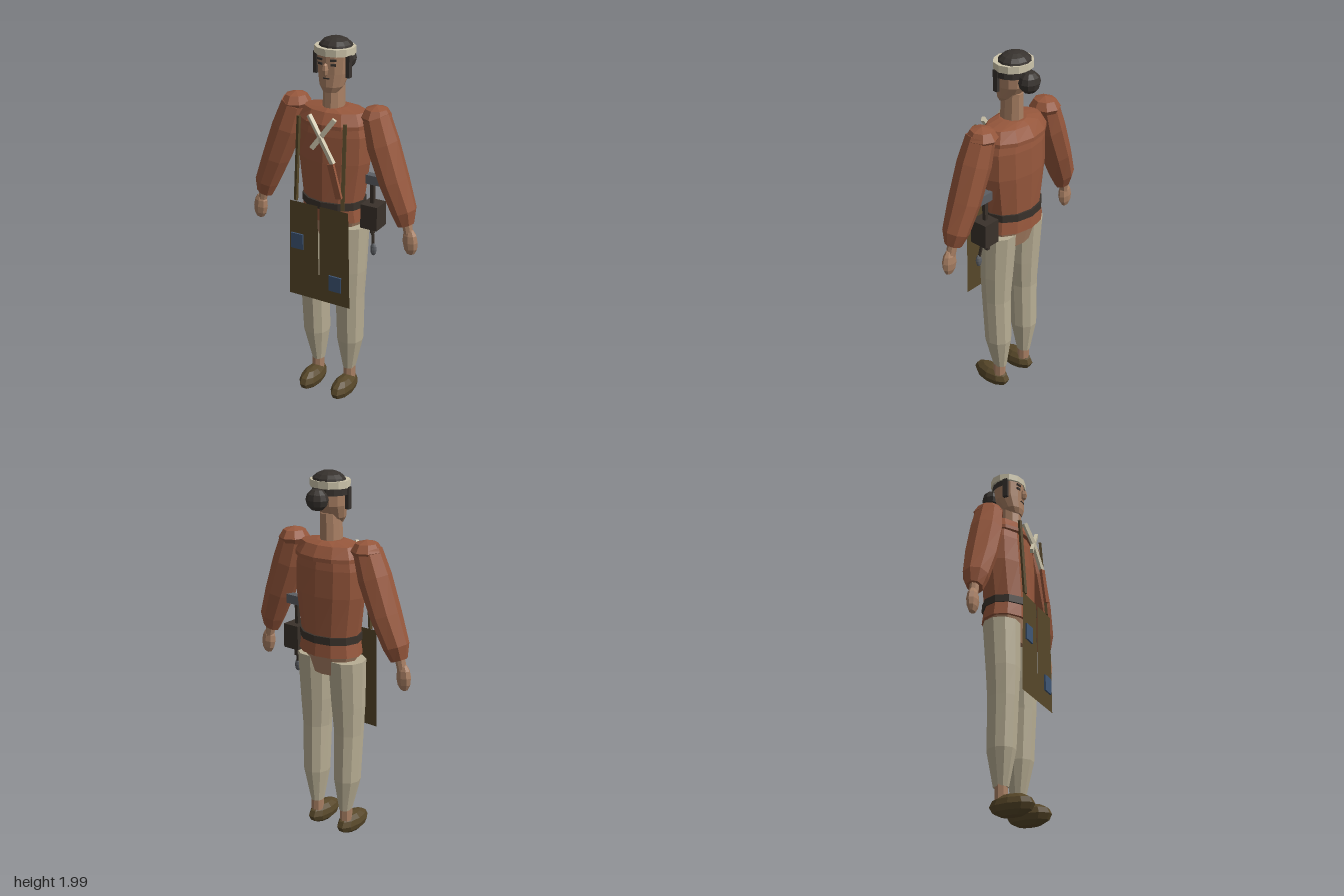
import * as THREE from 'three';

const mat = (name, color, extra = {}) =>
  new THREE.MeshStandardMaterial({ name, color, flatShading: true, ...extra });

export function createModel() {
  const root = new THREE.Group();
  root.name = 'apronedCraftsman';
  const M = {
    rust: mat('rustCloth', 0x96573c),
    skin: mat('skin', 0xa98064),
    cream: mat('creamTrousers', 0xb8ae94),
    pale: mat('paleCloth', 0xcdc5ab),
    hair: mat('darkHair', 0x37322e, { side: THREE.DoubleSide }),
    olive: mat('oliveLeather', 0x574729, { side: THREE.DoubleSide }),
    belt: mat('darkLeather', 0x3a322b),
    blue: mat('bluePatch', 0x3f5675),
    metal: mat('greyMetal', 0x5c5f64),
  };

  const add = (name, geo, material, pos = [0, 0, 0], scale = [1, 1, 1]) => {
    const m = new THREE.Mesh(geo, material);
    m.name = name;
    m.position.set(...pos);
    m.scale.set(...scale);
    root.add(m);
    return m;
  };
  const box = (name, material, size, pos) => add(name, new THREE.BoxGeometry(...size), material, pos);
  const ball = (name, material, radii, pos, w = 8, h = 6) =>
    add(name, new THREE.SphereGeometry(1, w, h), material, pos, radii);

  // Closed body through elliptical rings [x, y, z, rx, rz], listed from bottom to top
  const loft = (name, material, rings, n = 12, tilt = 0) => {
    const pos = [], idx = [];
    for (const [x, y, z, rx, rz] of rings)
      for (let i = 0; i < n; i++) {
        const a = (i / n) * Math.PI * 2, u = rx * Math.cos(a);
        pos.push(x + u * Math.cos(tilt), y + u * Math.sin(tilt), z + rz * Math.sin(a));
      }
    for (let r = 0; r < rings.length - 1; r++)
      for (let i = 0; i < n; i++) {
        const a = r * n + i, b = r * n + ((i + 1) % n);
        idx.push(a, a + n, b, b, a + n, b + n);
      }
    const last = (rings.length - 1) * n;
    for (let i = 1; i < n - 1; i++) idx.push(0, i, i + 1, last, last + i + 1, last + i);
    const g = new THREE.BufferGeometry();
    g.setAttribute('position', new THREE.Float32BufferAttribute(pos, 3));
    g.setIndex(idx);
    g.computeVertexNormals();
    return add(name, g, material);
  };

  // Flat bar running between two points
  const bar = (name, material, a, b, w, d) => {
    const A = new THREE.Vector3(...a), B = new THREE.Vector3(...b);
    const m = box(name, material, [w, A.distanceTo(B), d], [0, 0, 0]);
    m.position.copy(A).add(B).multiplyScalar(0.5);
    m.quaternion.setFromUnitVectors(new THREE.Vector3(0, 1, 0), B.sub(A).normalize());
    return m;
  };

  // Torso, shoulder yoke, belt and hips
  loft('shirt', M.rust, [
    [0, 1.065, -0.015, 0.182, 0.132], [0, 1.15, -0.012, 0.166, 0.126],
    [0, 1.38, -0.018, 0.2, 0.126], [0, 1.52, -0.02, 0.2, 0.118], [0, 1.6, -0.02, 0.18, 0.105],
  ]);
  loft('shirtYoke', M.rust, [
    [0, 1.565, -0.02, 0.2, 0.135], [0, 1.585, -0.02, 0.2, 0.135],
    [0, 1.64, -0.02, 0.17, 0.1], [0, 1.655, -0.015, 0.07, 0.07],
  ]);
  loft('belt', M.belt, [[0, 1.135, -0.012, 0.175, 0.138], [0, 1.175, -0.012, 0.175, 0.138]]);
  loft('hips', M.skin, [[0, 0.95, -0.01, 0.12, 0.08], [0, 1.08, -0.01, 0.17, 0.115]]);

  // Neck and head
  loft('neck', M.skin, [[0, 1.63, -0.008, 0.055, 0.065], [0, 1.79, -0.012, 0.05, 0.062]], 10);
  loft('head', M.skin, [
    [0, 1.735, 0.022, 0.04, 0.038], [0, 1.765, 0.01, 0.063, 0.058],
    [0, 1.83, -0.01, 0.08, 0.078], [0, 1.93, -0.015, 0.086, 0.085],
  ]);
  ball('nose', M.skin, [0.016, 0.034, 0.02], [0, 1.855, 0.075], 6, 4);
  box('mouth', M.hair, [0.034, 0.006, 0.008], [0, 1.81, 0.065]);
  for (const s of [1, -1]) {
    box('eyebrow', M.hair, [0.032, 0.01, 0.008], [s * 0.037, 1.903, 0.062]).rotation.y = s * 0.26;
    box('eye', M.hair, [0.026, 0.011, 0.008], [s * 0.037, 1.88, 0.061]).rotation.y = s * 0.26;
    box('sideburn', M.hair, [0.02, 0.11, 0.026], [s * 0.092, 1.868, 0.008]);
  }

  // Hair, bun and headband
  add('hairCap', new THREE.SphereGeometry(1, 12, 4, 0, Math.PI * 2, 0, Math.PI / 2), M.hair,
    [0, 1.945, -0.028], [0.09, 0.055, 0.083]);
  add('napeHair', new THREE.CylinderGeometry(1, 1, 0.038, 8, 1, true, Math.PI / 2, Math.PI), M.hair,
    [0, 1.904, 0], [0.098, 1, 0.108]);
  ball('hairBun', M.hair, [0.059, 0.057, 0.052], [0, 1.868, -0.122], 10, 6);
  loft('headband', M.pale, [[0, 1.92, -0.02, 0.105, 0.095], [0, 1.956, -0.02, 0.105, 0.095]]);

  // Arms, legs and shoes
  for (const s of [1, -1]) {
    ball('shoulderPad', M.rust, [0.077, 0.055, 0.085], [s * 0.232, 1.632, -0.025], 8, 4);
    loft('sleeve', M.rust, [
      [s * 0.423, 1.1, 0, 0.046, 0.042], [s * 0.407, 1.17, -0.005, 0.066, 0.07],
      [s * 0.345, 1.32, -0.01, 0.076, 0.088], [s * 0.277, 1.5, -0.014, 0.083, 0.09],
      [s * 0.235, 1.63, -0.02, 0.07, 0.078],
    ], 8, s * 0.36);
    loft('wrist', M.skin, [[s * 0.442, 1.04, 0.002, 0.024, 0.022], [s * 0.425, 1.12, 0, 0.028, 0.026]], 8, s * 0.25);
    ball('hand', M.skin, [0.043, 0.073, 0.029], [s * 0.45, 1.012, 0.004]).rotation.z = s * 0.08;
    loft('trouserLeg', M.cream, [
      [s * 0.098, 0.165, -0.01, 0.034, 0.04], [s * 0.105, 0.35, -0.005, 0.071, 0.075],
      [s * 0.107, 0.62, 0.004, 0.077, 0.08], [s * 0.104, 0.78, 0.002, 0.09, 0.088],
      [s * 0.102, 1.035, -0.008, 0.099, 0.098],
    ], 10);
    loft('ankle', M.skin, [[s * 0.1, 0.08, -0.008, 0.034, 0.034], [s * 0.1, 0.19, -0.008, 0.034, 0.034]], 8);
    ball('shoe', M.olive, [0.056, 0.06, 0.12], [s * 0.1, 0.068, 0.05], 10, 6);
    bar('apronStrap', M.olive, [s * 0.132, 1.61, 0.112], [s * 0.137, 1.165, 0.142], 0.018, 0.014);
  }

  // Split apron sheet with patches
  const apron = new THREE.Shape([
    [-0.183, 0.62], [0.183, 0.62], [0.172, 1.16], [0.007, 1.16],
    [0.003, 0.77], [-0.003, 0.77], [-0.007, 1.16], [-0.172, 1.16],
  ].map(([x, y]) => new THREE.Vector2(x, y)));
  add('apron', new THREE.ShapeGeometry(apron), M.olive, [0, 0, 0.146]);
  box('apronPatch', M.blue, [0.072, 0.086, 0.009], [-0.123, 0.942, 0.158]);
  box('apronPatch', M.blue, [0.072, 0.086, 0.009], [0.102, 0.747, 0.158]);

  // Crossed neckerchief with a loose rust tail
  bar('scarfBand', M.pale, [-0.072, 1.625, 0.112], [0.005, 1.525, 0.132], 0.024, 0.018);
  bar('scarfBand', M.pale, [0.0, 1.53, 0.132], [0.082, 1.405, 0.142], 0.024, 0.018);
  bar('scarfBand', M.pale, [0.075, 1.625, 0.115], [-0.042, 1.465, 0.138], 0.024, 0.018);
  bar('scarfTail', M.rust, [0.072, 1.405, 0.148], [0.122, 1.23, 0.15], 0.036, 0.014);

  // Tool pouch with hammer and spoon on the belt
  box('toolPouch', M.belt, [0.095, 0.13, 0.1], [0.222, 1.1, -0.025]);
  box('hammerHandle', M.belt, [0.02, 0.15, 0.02], [0.217, 1.21, -0.025]);
  box('hammerHead', M.metal, [0.09, 0.048, 0.042], [0.23, 1.295, -0.025]);
  bar('spoonHandle', M.belt, [0.222, 1.06, -0.015], [0.239, 0.94, 0], 0.012, 0.012);
  ball('spoonBowl', M.metal, [0.018, 0.035, 0.014], [0.241, 0.918, 0.002]);
  box('pouchTool', M.belt, [0.02, 0.06, 0.02], [0.215, 1.02, -0.035]);

  return root;
}
